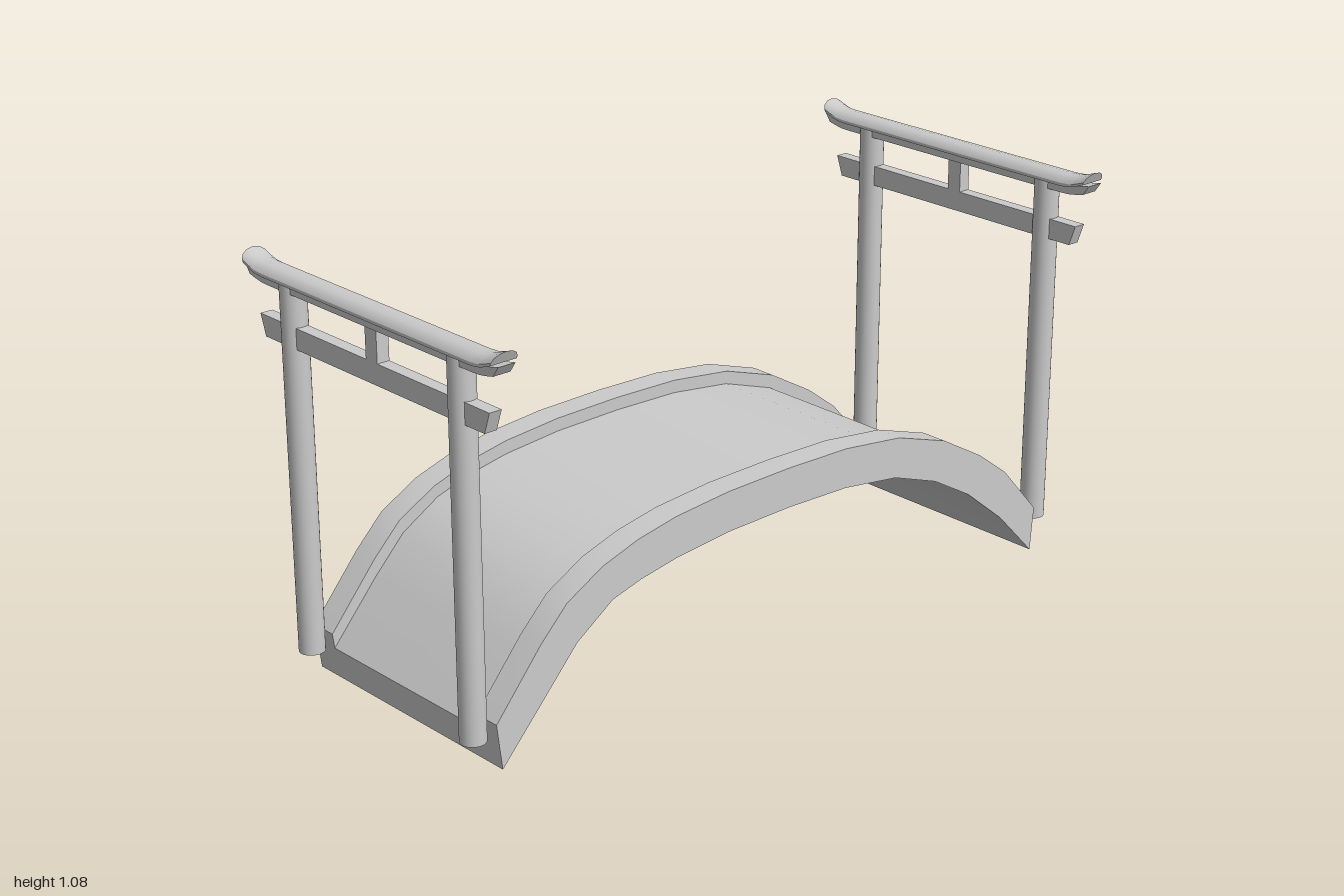
import * as THREE from 'three';
import { toCreasedNormals } from 'three/addons/utils/BufferGeometryUtils.js';

const material = new THREE.MeshStandardMaterial({ color: 0xcccccc });

function addMesh(parent, name, geometry, x = 0, y = 0, z = 0) {
  const mesh = new THREE.Mesh(geometry, material);
  mesh.name = name;
  mesh.position.set(x, y, z);
  parent.add(mesh);
  return mesh;
}

// Sweeps a 2D section through numbered stations; place(u, v, station) returns [x, y, z].
function sweep(section, stations, place) {
  const shape = new THREE.Shape(section.map(([u, v]) => new THREE.Vector2(u, v)));
  const steps = stations.length - 1;
  const geometry = new THREE.ExtrudeGeometry(shape, { depth: steps, steps, bevelEnabled: false });
  const p = geometry.attributes.position;
  for (let i = 0; i < p.count; i++) {
    p.setXYZ(i, ...place(p.getX(i), p.getY(i), stations[Math.round(p.getZ(i))]));
  }
  return toCreasedNormals(geometry, 0.5);
}

// Arched deck with a raised kerb along each side: one U-shaped section.
function bridgeGeometry() {
  // each station: top x, top y, bottom x, bottom y
  const arch = [
    [-0.925, 0.12, -0.91, 0], [-0.79, 0.28, -0.79, 0.13], [-0.71, 0.36, -0.68, 0.25],
    [-0.6, 0.42, -0.57, 0.325], [-0.49, 0.455, -0.48, 0.35], [-0.37, 0.478, -0.37, 0.37],
    [-0.2, 0.493, -0.2, 0.387], [0, 0.497, 0, 0.392], [0.2, 0.493, 0.2, 0.387],
    [0.39, 0.47, 0.38, 0.363], [0.56, 0.415, 0.53, 0.31], [0.7, 0.335, 0.66, 0.235],
    [0.8, 0.26, 0.79, 0.13], [0.925, 0.12, 0.915, 0],
  ];
  const w = 0.357, k = 0.283, deck = 0.67;
  const section = [[-w, 0], [w, 0], [w, 1], [k, 1], [k, deck], [-k, deck], [-k, 1], [-w, 1]];
  return sweep(section, arch, (u, v, [tx, ty, bx, by]) => [
    THREE.MathUtils.lerp(bx, tx, v), THREE.MathUtils.lerp(by, ty, v), -u,
  ]);
}

// Beam along z; ends lean outward by slant per unit height and rise by lift.
function beamGeometry(section, halfLength, topY, slant, lift) {
  const rise = [[1, 1], [0.945, 0.45], [0.9, 0.12], [0.84, 0]];
  const stations = [
    ...rise.map(([t, r]) => [-t, r]),
    ...rise.slice().reverse(),
  ];
  return sweep(section, stations, (u, v, [t, r]) => [
    u, v + lift * r, t * (halfLength - slant * (topY - v)),
  ]);
}

const rectangle = (w, y0, y1) => [[-w, y0], [w, y0], [w, y1], [-w, y1]];

function createGate() {
  const gate = new THREE.Group();
  gate.name = 'gate';

  // Round posts, tops set into the lintel
  for (const side of [1, -1]) {
    const post = new THREE.CylinderGeometry(0.033, 0.033, 0.954, 24);
    addMesh(gate, 'post', post, 0, 0.555, side * 0.317);
  }

  // Tie beam and central strut
  addMesh(gate, 'tieBeam', beamGeometry(rectangle(0.017, 0.873, 0.927), 0.433, 0.927, 0.35, 0));
  addMesh(gate, 'centreStrut', new THREE.BoxGeometry(0.034, 0.09, 0.043), 0, 0.968, 0.007);

  // Lower lintel
  addMesh(gate, 'lowerLintel', beamGeometry(rectangle(0.024, 1.01, 1.036), 0.476, 1.036, 0.7, 0.01));

  // Rounded cap beam with upturned ends
  const cap = [
    [-0.037, 1.032], [0.037, 1.032], [0.037, 1.04], [0.031, 1.05], [0.018, 1.058],
    [0, 1.061], [-0.018, 1.058], [-0.031, 1.05], [-0.037, 1.04],
  ];
  addMesh(gate, 'capBeam', beamGeometry(cap, 0.477, 1.061, 0.45, 0.017));
  return gate;
}

export function createModel() {
  const model = new THREE.Group();
  model.name = 'archedBridge';
  addMesh(model, 'bridgeDeck', bridgeGeometry());
  for (const side of [-1, 1]) {
    const gate = createGate();
    gate.position.x = side * 0.963;
    model.add(gate);
  }
  return model;
}
